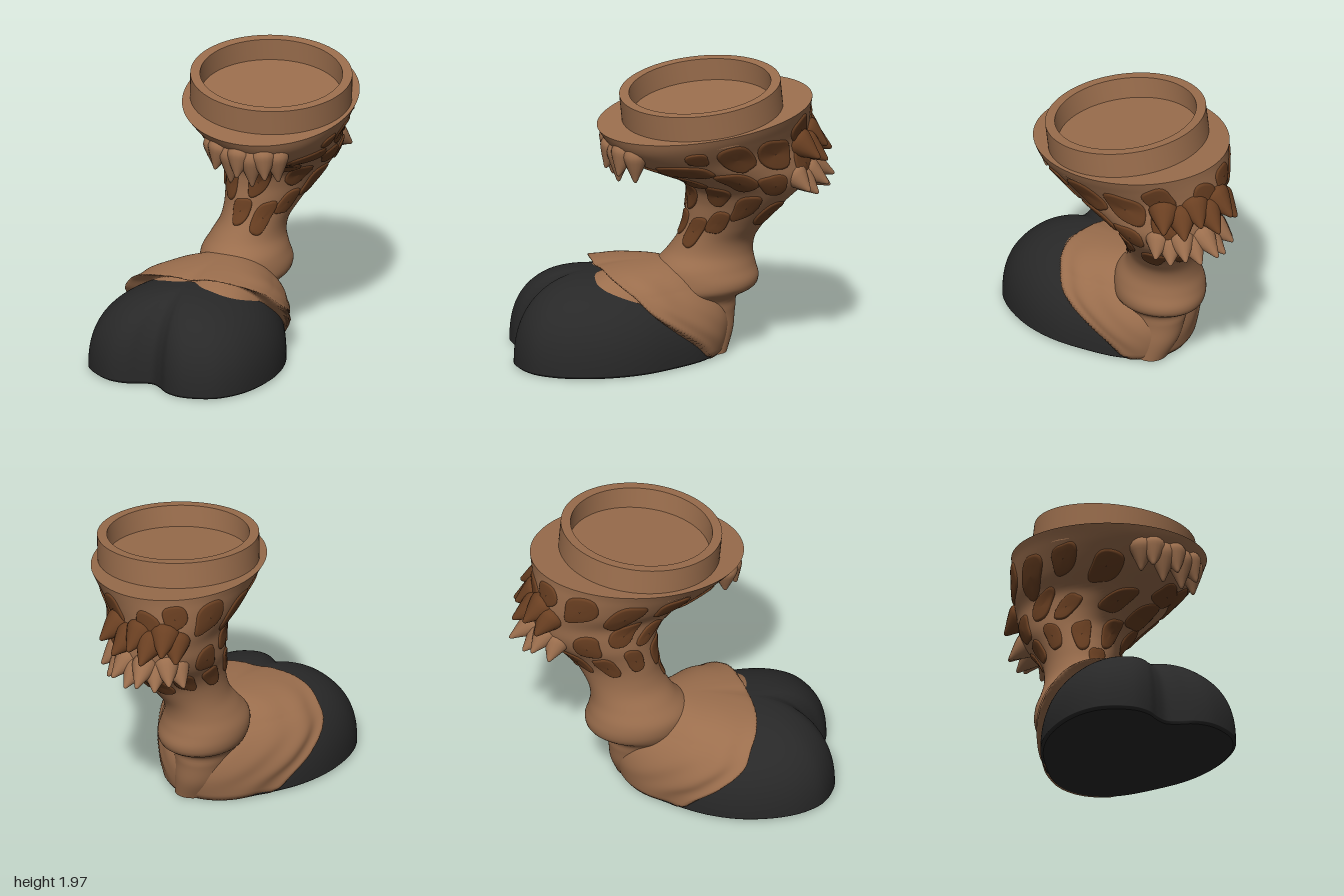
import * as THREE from 'three';
import { toCreasedNormals } from 'three/addons/utils/BufferGeometryUtils.js';

const material = (color) => new THREE.MeshStandardMaterial({ color, roughness: 0.75 });
const V = (x, y, z) => new THREE.Vector3(x, y, z);
const TAU = Math.PI * 2;

// Closed loft: fn(row, angle) gives a point, rows run upwards (or inwards)
function loft(rows, cols, fn) {
  const pos = [], idx = [];
  rows.forEach((r, i) => {
    for (let j = 0; j < cols; j++) {
      pos.push(...fn(r, (j / cols) * TAU).toArray());
      if (i === rows.length - 1) continue;
      const k = (j + 1) % cols, a = i * cols + j, c = i * cols + k;
      idx.push(a, a + cols, c, a + cols, c + cols, c);
    }
  });
  const g = new THREE.BufferGeometry();
  g.setAttribute('position', new THREE.Float32BufferAttribute(pos, 3));
  g.setIndex(idx);
  g.computeVertexNormals();
  return g;
}

// Leg cross-sections: height, then x min, x max, z min, z max, tilt
const LEG = [
  [0.01, 0.06, 0.36, -0.36, -0.1, 0], [0.15, 0.0, 0.365, -0.43, -0.05, 0],
  [0.3, -0.05, 0.365, -0.465, 0, 0], [0.39, -0.1, 0.385, -0.49, 0.03, 0],
  [0.45, -0.12, 0.465, -0.585, 0.05, 0], [0.51, -0.14, 0.485, -0.61, 0.05, 0],
  [0.6, -0.14, 0.46, -0.6, 0.04, 0], [0.7, -0.075, 0.44, -0.575, -0.035, 0],
  [0.8, -0.01, 0.46, -0.57, -0.075, 0], [0.9, 0.02, 0.53, -0.585, -0.1, 0],
  [1.0, 0.03, 0.61, -0.62, -0.1, 0], [1.1, 0.035, 0.7, -0.69, -0.09, 0],
  [1.2, 0.035, 0.78, -0.78, -0.05, 0.01], [1.3, 0.03, 0.82, -0.84, 0.07, 0.03],
  [1.4, 0, 0.82, -0.855, 0.24, 0.06], [1.5, -0.1, 0.82, -0.86, 0.4, 0.09],
  [1.62, -0.2, 0.87, -0.855, 0.52, 0.11], [1.68, -0.245, 0.9, -0.85, 0.555, 0.12],
  [1.727, -0.28, 0.92, -0.85, 0.575, 0.12],
];
const legSpline = new THREE.CubicInterpolant(LEG.map((s) => s[0]), LEG.flatMap((s) => s.slice(1)), 5);

function legPoint(t, y, k = 1) {
  const [x0, x1, z0, z1, tilt] = legSpline.evaluate(y);
  const dz = (k * Math.sin(t - 0.17) * (z1 - z0)) / 2;
  return V((x0 + x1) / 2 + (k * Math.cos(t) * (x1 - x0)) / 2, y - tilt * dz, (z0 + z1) / 2 + dz);
}
function legNormal(t, y) {
  const e = 0.01, p = legPoint(t, y);
  const up = legPoint(t, Math.min(y + e, 1.727)).sub(p);
  return up.cross(legPoint(t + e, y).sub(p)).normalize();
}

// Raised rounded patch lying on the leg surface
function patchGeometry(t, y, hw, hh, seed) {
  const e = 0.01, speed = legPoint(t + e, y).distanceTo(legPoint(t - e, y)) / (2 * e);
  const turn = Math.sin(seed * 2.7) * 0.3;
  const rows = [[1.04, -0.012], [1, 0.002], [0.94, 0.009], [0.85, 0.012], [0.5, 0.012], [0.02, 0.012]];
  return loft(rows, 32, ([k, lift], f) => {
    const c = Math.abs(Math.cos(f)), s = Math.abs(Math.sin(f));
    const r = (k * (1 + 0.06 * Math.sin(f * 3 + seed * 1.9))) / Math.pow(c ** 3 + s ** 3, 1 / 3);
    const a = r * Math.cos(f + turn), b = r * Math.sin(f + turn);
    const pt = t + (a * hw) / speed, py = Math.min(y + b * hh, 1.69);
    return legPoint(pt, py).addScaledVector(legNormal(pt, py), lift);
  });
}

// Spots: angle in degrees (0 = left side, 90 = front), height, half width, half height
const SPOTS = [
  [49, 1.58, 0.075, 0.055], [27, 1.53, 0.12, 0.11], [2, 1.49, 0.13, 0.11], [-24, 1.58, 0.1, 0.09],
  [68, 1.46, 0.18, 0.06], [43, 1.33, 0.11, 0.085], [17, 1.27, 0.1, 0.08], [-22, 1.36, 0.09, 0.12],
  [39, 1.09, 0.08, 0.1], [-5, 1.02, 0.085, 0.09], [-55, 1.03, 0.075, 0.09], [-57, 1.52, 0.09, 0.11],
  [128, 0.91, 0.06, 0.09], [90, 0.87, 0.065, 0.11], [62, 0.96, 0.07, 0.085], [115, 1.13, 0.07, 0.11],
  [74, 1.18, 0.085, 0.085], [95, 1.3, 0.11, 0.07], [98, 1.42, 0.11, 0.05], [155, 1.08, 0.06, 0.11],
  [138, 1.33, 0.09, 0.07], [165, 1.5, 0.11, 0.08], [195, 1.56, 0.1, 0.08], [222, 1.52, 0.11, 0.11],
  [253, 1.57, 0.11, 0.1], [180, 1.29, 0.08, 0.08], [208, 1.34, 0.09, 0.09], [237, 1.26, 0.09, 0.09],
  [195, 1.1, 0.06, 0.1], [232, 1.06, 0.07, 0.09], [268, 1.07, 0.07, 0.09], [281, 1.6, 0.08, 0.08],
];

// Foot outline in the foot's own frame (x across, z towards the toes)
const HALF = [[0.14, -0.39], [0.27, -0.3], [0.43, -0.1], [0.55, 0.1], [0.62, 0.33], [0.625, 0.58],
  [0.58, 0.75], [0.49, 0.88], [0.3, 0.97], [0.17, 0.955], [0.08, 0.9]];
const outline = new THREE.CatmullRomCurve3([
  ...HALF.map(([x, z]) => V(x, 0, z)), V(0, 0, 0.87),
  ...HALF.map(([x, z]) => V(-x, 0, z)).reverse(), V(0, 0, -0.42),
], true);
const footPoint = (f, k, cz, y) => {
  const p = outline.getPoint(f / TAU);
  return V(p.x * k, y, cz + (p.z - cz) * k);
};
// Front limit of the skin at each height, slanting back towards the model's left
const cuff = new THREE.CubicInterpolant([0, 0.12, 0.25, 0.4, 0.5, 0.57, 0.61, 0.65],
  [-0.2, -0.09, 0.1, 0.31, 0.38, 0.44, 0.46, 0.42], 1);
const cuffLimit = (x, y) => cuff.evaluate(y)[0] - (0.45 - 0.4 * y) * x - 0.3 * x * x;
const steps = (n, fn) => Array.from({ length: n + 1 }, (_, i) => fn(i / n));

export function createModel() {
  const model = new THREE.Group();
  const skin = material(0x9b6e4d), dark = material(0x6b4022), horn = material(0x282828);
  const add = (name, geometry, mat, parent = model) => {
    const mesh = new THREE.Mesh(geometry, mat);
    mesh.name = name;
    parent.add(mesh);
    return mesh;
  };

  // Leg widening to the rim, closed by a flat shelf
  const legRows = steps(96, (u) => [0.01 + u * 1.717, 1]);
  legRows.push([1.727, 1], [1.727, 0]);
  add('leg', loft(legRows, 96, ([y, k], t) => legPoint(t, y, k)), skin);

  // Cloven hoof and the fleshy foot behind it
  const foot = new THREE.Group();
  foot.name = 'foot';
  foot.rotation.y = -0.663;
  model.add(foot);
  const hoofRows = [[0, 0], [0, 0.97], [0, 0.97], [0.015, 1],
    ...steps(36, (u) => Math.sin((u * Math.PI) / 2) * 0.555 + 0.02)
      .map((y) => [y, Math.pow(Math.max(0, 1 - (y / 0.575) ** 2.5), 0.43)])];
  add('hoof', loft(hoofRows, 160, ([y, k], f) => footPoint(f, k, 0.42, y)), horn, foot);

  const skinRows = [[0.004, 0], [0.004, 0.99], [0.03, 1.02],
    ...steps(60, (u) => Math.sin((u * Math.PI) / 2) * 0.6 + 0.045)
      .map((y) => [y, 1.03 * Math.pow(Math.max(0, 1 - (y / 0.645) ** 3.2), 0.45)])];
  add('pastern', loft(skinRows, 240, ([y, k], f) => {
    const p = footPoint(f, k, 0, y);
    p.z -= 0.05 * Math.sin(Math.min(1, y / 0.5) * Math.PI);
    const ahead = p.z - cuffLimit(p.x, y), back = Math.max(0, -ahead);
    p.x *= 1 + 0.03 * (Math.cos(back * 26) - 0.6) * Math.exp(-back * 3);
    // past the cuff the skin tucks away inside the hoof
    const tuck = 1 - 0.3 * THREE.MathUtils.smoothstep(ahead, -0.05, 0.07);
    return V(p.x * tuck, y, p.z * tuck);
  }), skin, foot);

  // Socket ring with a recessed floor
  const ringProfile = [[0.54, -0.06], [0.54, 0.19], [0.475, 0.19], [0.47, 0.04], [0, 0.04]];
  const ring = add('socketRing', toCreasedNormals(new THREE.LatheGeometry(
    ringProfile.map(([r, y]) => new THREE.Vector2(r, y)), 96), 0.6), skin);
  ring.position.set(0.32, 1.712, -0.119);
  ring.rotation.x = 0.125;

  // Coat spots
  const spots = new THREE.Group();
  spots.name = 'spots';
  model.add(spots);
  SPOTS.forEach(([deg, y, hw, hh], i) =>
    add('spot', patchGeometry((deg * Math.PI) / 180, y, hw, hh, i + 1), dark, spots));

  // Hair tufts: tapering locks rooted in the leg surface
  const lockShape = new THREE.LatheGeometry(new THREE.SplineCurve(
    [[0.01, 0], [0.7, 0.08], [1, 0.3], [0.75, 0.55], [0.36, 0.82], [0.14, 0.97], [0.005, 1]]
      .map(([r, y]) => new THREE.Vector2(r, y))).getPoints(18), 16);
  const lock = (group, mat, deg, y, lift, out, drop, r) => {
    const t = (deg * Math.PI) / 180, n = legNormal(t, y).setY(0).normalize();
    const base = legPoint(t, y + lift).addScaledVector(n, -0.09);
    const tip = legPoint(t, y).addScaledVector(n, out).add(V(0, -drop, 0));
    const dir = tip.sub(base), mesh = add('lock', lockShape, mat, group);
    mesh.position.copy(base);
    mesh.scale.set(r, dir.length(), r);
    mesh.quaternion.setFromUnitVectors(V(0, 1, 0), dir.normalize());
  };
  const frontTuft = new THREE.Group(), backTuft = new THREE.Group();
  frontTuft.name = 'frontTuft';
  backTuft.name = 'backTuft';
  model.add(frontTuft, backTuft);
  [[90, 0.21], [101, 0.17], [111, 0.24], [121, 0.17], [130, 0.24], [139, 0.16], [147, 0.19]]
    .forEach(([deg, drop], i) => lock(frontTuft, skin, deg, 1.63, 0.06, -0.04 + (i % 2) * 0.06, drop, 0.085));
  for (let i = 0; i < 6; i++) {
    lock(backTuft, dark, -84 + i * 12, 1.4 + (i % 2) * 0.05, 0.08, 0.11 + (i % 3) * 0.015, 0.05, 0.1);
  }
  for (let i = 0; i < 8; i++) {
    lock(backTuft, skin, -92 + i * 11.5, 1.23 + (i % 2) * 0.04, 0.06, 0.17 - Math.abs(i - 3) * 0.02, 0.07, 0.085);
  }
  return model;
}
